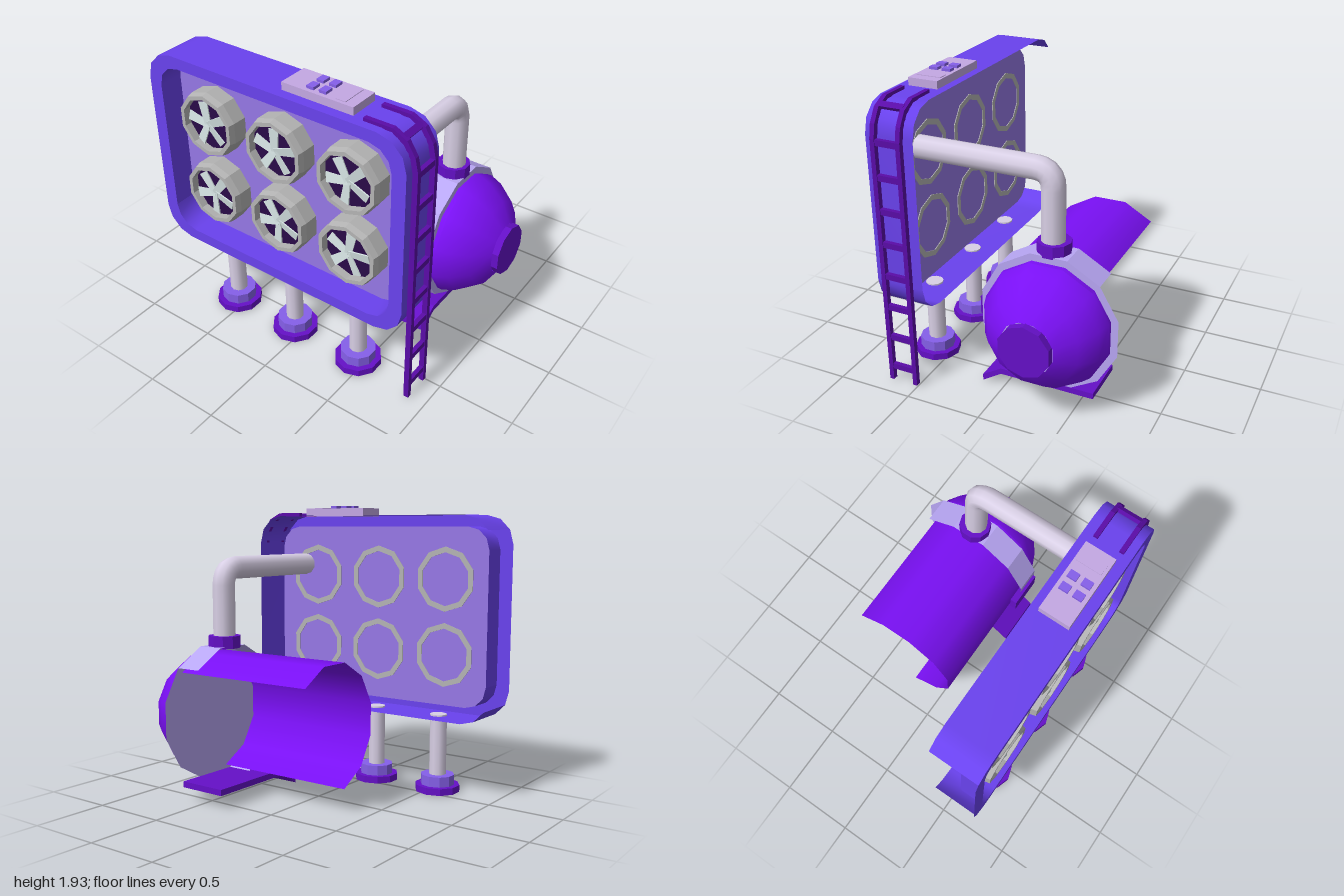
import * as THREE from 'three';

const D = THREE.MathUtils.degToRad;
const mat = (color, flatShading = false) =>
  new THREE.MeshStandardMaterial({ color, flatShading, side: THREE.DoubleSide });
const M = {
  frame: mat(0x6a42ee), panel: mat(0x9678e6), violet: mat(0x7a10f5), deep: mat(0x6510c8, true),
  ladder: mat(0x5a0ca8, true), lilac: mat(0xb8a6f4, true), step: mat(0x8660ea, true),
  pipe: mat(0xd9d0e6), ring: mat(0xb4b4b4, true), dark: mat(0x2a0a48, true),
  blade: mat(0xd4e2e2, true), box: mat(0xc4a8e4, true),
};

function add(parent, name, geo, material, x = 0, y = 0, z = 0) {
  const m = new THREE.Mesh(geo, material);
  m.name = name;
  m.position.set(x, y, z);
  parent.add(m);
  return m;
}

function group(parent, name, x = 0, y = 0, z = 0) {
  const g = new THREE.Group();
  g.name = name;
  g.position.set(x, y, z);
  parent.add(g);
  return g;
}

// box given by its limits
function block(parent, name, material, x0, x1, y0, y1, z0, z1) {
  return add(parent, name, new THREE.BoxGeometry(x1 - x0, y1 - y0, z1 - z0), material,
    (x0 + x1) / 2, (y0 + y1) / 2, (z0 + z1) / 2);
}

// rounded rectangle, counter-clockwise from the lower left corner, 3 steps per corner
function roundedLoop(x0, x1, y0, y1, r) {
  const corners = [[x0 + r, y0 + r], [x1 - r, y0 + r], [x1 - r, y1 - r], [x0 + r, y1 - r]];
  return corners.flatMap(([cx, cy], i) => [0, 1, 2, 3].map(k => {
    const a = D(180 + i * 90 + k * 30);
    return new THREE.Vector2(cx + r * Math.cos(a), cy + r * Math.sin(a));
  }));
}

// wall that follows an outline between two depths
function wall(points, z0, z1) {
  const pos = [], index = [];
  points.forEach((p, i) => {
    pos.push(p.x, p.y, z0, p.x, p.y, z1);
    const a = i * 2;
    if (i < points.length - 1) index.push(a, a + 2, a + 3, a, a + 3, a + 1);
  });
  const g = new THREE.BufferGeometry();
  g.setAttribute('position', new THREE.Float32BufferAttribute(pos, 3));
  g.setIndex(index);
  g.computeVertexNormals();
  return g;
}

// side profile extruded from z0 to z1
function extrude(pairs, z0, z1) {
  const shape = new THREE.Shape(pairs.map(p => new THREE.Vector2(...p)));
  return new THREE.ExtrudeGeometry(shape, { depth: z1 - z0, bevelEnabled: false }).translate(0, 0, z0);
}

function buildPanel(root) {
  const g = group(root, 'fanPanel');
  const outer = roundedLoop(-1, 0.855, 0.52, 1.86, 0.19);
  const inner = roundedLoop(-0.91, 0.765, 0.595, 1.785, 0.15);
  // casing is open at the back and along the far side
  add(g, 'casing', wall(outer.slice(1, 15), 0.435, 0.755), M.frame);
  const rim = new THREE.Shape(outer);
  rim.holes.push(new THREE.Path(inner));
  add(g, 'frontRim', new THREE.ShapeGeometry(rim), M.frame, 0, 0, 0.755);
  add(g, 'recessWall', wall([...inner, inner[0]], 0.595, 0.755), M.frame);
  add(g, 'backing', new THREE.ShapeGeometry(new THREE.Shape(inner)), M.panel, 0, 0, 0.595);
  const turns = [[54, 50, 80], [100, 90, 46]];
  [0.935, 1.44].forEach((y, row) => [-0.597, -0.075, 0.446].forEach((x, col) =>
    buildFan(g, x, y, turns[row][col])));
}

function buildFan(parent, x, y, turn) {
  const g = group(parent, 'fan', x, y, 0.59);
  const profile = [[0.178, 0], [0.215, 0], [0.215, 0.1], [0.205, 0.14], [0.178, 0.14], [0.178, 0]]
    .map(p => new THREE.Vector2(...p));
  add(g, 'fanRing', new THREE.LatheGeometry(profile, 10).rotateX(Math.PI / 2), M.ring);
  add(g, 'fanBack', new THREE.CircleGeometry(0.19, 10, Math.PI / 2), M.dark, 0, 0, 0.09);
  for (let i = 0; i < 5; i++) {
    const blade = extrude([[0, -0.022], [0.15, -0.032], [0.15, 0.032], [0, 0.022]], 0, 0.008);
    blade.rotateX(0.15).rotateZ(D(turn + i * 72));
    add(g, 'fanBlade', blade, M.blade, 0, 0, 0.11);
  }
}

function buildLegs(root) {
  for (const x of [-0.56, -0.065, 0.448]) {
    const g = group(root, 'leg', x, 0, 0.605);
    add(g, 'legShaft', new THREE.CylinderGeometry(0.058, 0.058, 0.43, 10), M.pipe, 0, 0.315, 0);
    add(g, 'footCollar', new THREE.CylinderGeometry(0.115, 0.115, 0.07, 10), M.step, 0, 0.08, 0);
    add(g, 'footPlate', new THREE.CylinderGeometry(0.152, 0.152, 0.046, 10), M.deep, 0, 0.023, 0);
  }
}

function buildLadder(root) {
  const g = group(root, 'ladder');
  const rail = [[0.545, 1.88], [0.73, 1.88], [0.82, 1.835], [0.873, 1.75], [0.892, 1.66], [0.892, 0.01],
    [0.858, 0.01], [0.858, 1.65], [0.842, 1.735], [0.8, 1.805], [0.725, 1.855], [0.545, 1.855]];
  for (const z of [0.5, 0.672]) add(g, 'ladderRail', extrude(rail, z, z + 0.03), M.ladder);
  for (let i = 0; i < 8; i++) {
    const y = 0.11 + i * 0.2185;
    block(g, 'ladderRung', M.ladder, 0.86, 0.888, y - 0.019, y + 0.019, 0.52, 0.68);
  }
  const topRung = block(g, 'ladderTopRung', M.ladder, 0.77, 0.81, 1.825, 1.85, 0.52, 0.68);
  topRung.rotation.z = -0.6;
}

function buildControls(root) {
  const g = group(root, 'controlBox');
  block(g, 'controlBase', M.box, -0.01, 0.475, 1.855, 1.91, 0.49, 0.69);
  for (const x of [0.145, 0.23]) for (const z of [0.515, 0.605])
    block(g, 'button', M.step, x, x + 0.048, 1.9, 1.927, z, z + 0.06);
  block(g, 'slider', M.box, 0.345, 0.41, 1.9, 1.914, 0.505, 0.67);
}

function buildTank(root) {
  const g = group(root, 'tank', 0, 0.558, -0.31);
  // seven of twelve sides; the lower rear is open
  const shell = (r, x0, x1) =>
    new THREE.CylinderGeometry(r, r, x1 - x0, 7, 1, true, D(-135), D(210))
      .rotateZ(-Math.PI / 2).translate((x0 + x1) / 2, 0, 0);
  add(g, 'tankShell', shell(0.415, -0.35, 0.683), M.violet);
  add(g, 'tankBand', shell(0.462, 0.475, 0.65), M.lilac);
  add(g, 'bandDisk', new THREE.CircleGeometry(0.462, 12, D(15)).rotateY(Math.PI / 2), M.lilac, 0.65);
  const dome = [[0.415, 0.65], [0.415, 0.683], [0.385, 0.765], [0.3, 0.88], [0.172, 0.957]]
    .map(p => new THREE.Vector2(...p));
  add(g, 'tankDome', new THREE.LatheGeometry(dome, 12, D(15)).rotateZ(-Math.PI / 2), M.violet);
  add(g, 'domeCap', new THREE.CylinderGeometry(0.17, 0.17, 0.05, 10, 1, false, D(18))
    .rotateZ(-Math.PI / 2), M.deep, 0.975);
  block(g, 'tankBracket', M.deep, 0.39, 0.635, -0.055, 0.062, 0.42, 0.467);

  // bent support plate under the tank
  const plate = [[0.61, 0.09], [-0.02, 0.09], [-0.15, 0.005], [-0.15, 0.05], [-0.02, 0.13], [0.61, 0.13]];
  add(root, 'tankSupport', extrude(plate, 0.318, 0.652).rotateY(Math.PI / 2), M.deep);
}

function buildPipe(root) {
  const V = (y, z) => new THREE.Vector3(0.555, y, z);
  const path = new THREE.CurvePath();
  path.add(new THREE.LineCurve3(V(0.99, -0.3), V(1.4, -0.3)));
  path.add(new THREE.QuadraticBezierCurve3(V(1.4, -0.3), V(1.515, -0.3), V(1.515, -0.185)));
  path.add(new THREE.LineCurve3(V(1.515, -0.185), V(1.515, 0.6)));
  add(root, 'pipe', new THREE.TubeGeometry(path, 40, 0.075, 10), M.pipe);
  add(root, 'pipeCollar', new THREE.CylinderGeometry(0.107, 0.107, 0.08, 10), M.deep, 0.55, 1.033, -0.305);
}

export function createModel() {
  const root = new THREE.Group();
  root.name = 'coolingUnit';
  buildPanel(root);
  buildLegs(root);
  buildLadder(root);
  buildControls(root);
  buildTank(root);
  buildPipe(root);
  return root;
}
